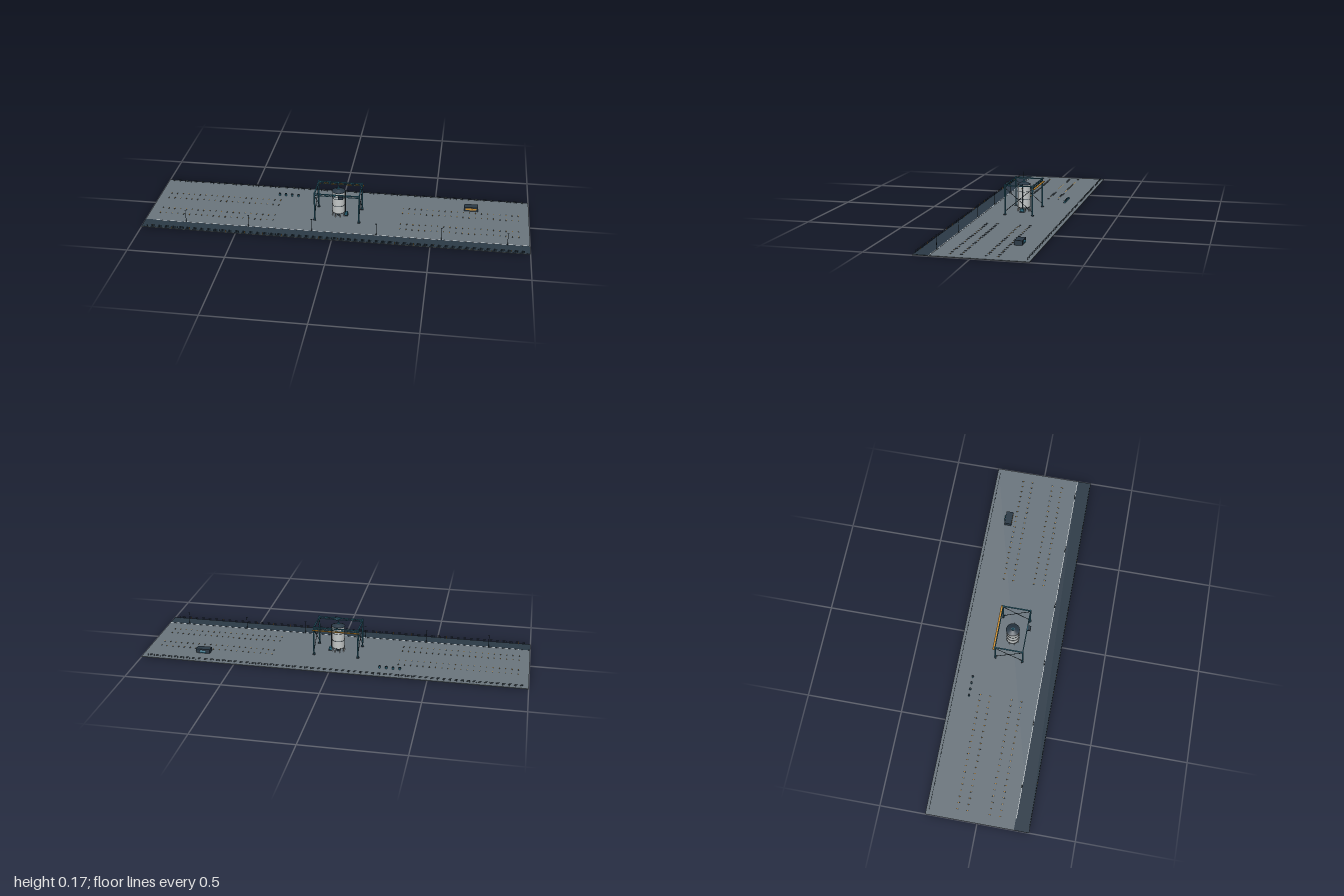
import * as THREE from 'three';

const mat = (name, color, side = THREE.FrontSide) => {
  const m = new THREE.MeshStandardMaterial({ color, side });
  m.name = name;
  return m;
};

export function createModel() {
  const concrete = mat('concrete grey', 0x6b767e);
  const navy = mat('dark navy', 0x2b3a47);
  const teal = mat('teal steel', 0x2f6f86);
  const silver = mat('silver', 0xc4c8c8);
  const dark = mat('dark steel', 0x22303a);
  const amber = mat('amber', 0xd0902f);
  const white = mat('white paint', 0xdde1e2);

  const root = new THREE.Group();
  root.name = 'processYard';
  const group = (name) => {
    const g = new THREE.Group();
    g.name = name;
    root.add(g);
    return g;
  };
  const add = (parent, name, geo, m, x, y, z) => {
    const mesh = new THREE.Mesh(geo, m);
    mesh.name = name;
    mesh.position.set(x, y, z);
    parent.add(mesh);
    return mesh;
  };
  const box = (p, name, m, w, h, d, x, y, z) => add(p, name, new THREE.BoxGeometry(w, h, d), m, x, y, z);
  const cyl = (p, name, m, r, h, x, y, z, r2 = r, n = 16) =>
    add(p, name, new THREE.CylinderGeometry(r2, r, h, n), m, x, y, z);
  // round bar between two points
  const bar = (p, name, m, r, a, b) => {
    const A = new THREE.Vector3(...a), B = new THREE.Vector3(...b), d = B.clone().sub(A);
    const c = A.clone().add(B).multiplyScalar(0.5);
    const mesh = cyl(p, name, m, r, d.length(), c.x, c.y, c.z, r, 8);
    mesh.quaternion.setFromUnitVectors(new THREE.Vector3(0, 1, 0), d.normalize());
    return mesh;
  };
  const G = 0.0035; // ground level

  // Yard slab, road and edge line
  const yard = group('yard');
  box(yard, 'slab', concrete, 2, G, 0.532, 0, G / 2, 0);
  box(yard, 'road', navy, 2, 0.0006, 0.077, 0, G + 0.0003, 0.2265);
  box(yard, 'roadLine', white, 1.94, 0.001, 0.003, 0.03, G + 0.0005, 0.19);

  // Rows of small floor markers on both sides of the tank
  const rows = group('floorMarkers');
  for (const side of [-1, 1])
    for (const z of [-0.112, -0.06, 0.055, 0.108])
      for (let i = 0; i < 20; i++) {
        const x = side * (0.335 + i * 0.0321);
        box(rows, 'marker', dark, 0.005, 0.0012, 0.012, x, G + 0.0006, z);
        box(rows, 'markerCap', amber, 0.003, 0.0004, 0.006, x, G + 0.0014, z);
      }

  // Fences along the long edges
  const fences = group('fences');
  for (const z of [-0.25, 0.262]) {
    for (let i = 0; i <= 60; i++)
      box(fences, 'fencePost', z > 0 && i % 3 === 1 ? amber : dark, 0.0015, 0.012, 0.0015, -0.97 + i * 0.0323, G + 0.006, z);
    for (const y of [0.009, 0.015])
      box(fences, 'fenceRail', dark, 1.94, 0.0007, 0.0012, 0, y, z);
  }

  // Lamp posts beside the road
  const lamps = group('lampPosts');
  for (let i = 0; i < 6; i++) {
    const x = -0.78 + i * 0.3333;
    cyl(lamps, 'lampPole', dark, 0.0014, 0.067, x, G + 0.0335, 0.19, 0.0011, 8);
    box(lamps, 'lampHead', dark, 0.010, 0.0018, 0.003, x, 0.0705, 0.19);
    box(lamps, 'lampBase', dark, 0.006, 0.002, 0.006, x, G + 0.001, 0.19);
  }

  // Gantry frame
  const gantry = group('gantry');
  const X = 0.117, Z = 0.073;
  for (const x of [-X, X]) {
    for (const z of [-Z, Z]) {
      cyl(gantry, 'gantryPost', teal, 0.004, 0.16, x, G + 0.08, z);
      box(gantry, 'postFoot', dark, 0.014, 0.0035, 0.013, x, G + 0.00175, z);
    }
    box(gantry, 'endBeam', teal, 0.006, 0.005, 2 * Z, x, 0.157, 0);
    for (const s of [-1, 1])
      bar(gantry, 'crossBrace', dark, 0.0016, [x, 0.021, s * Z], [x, 0.145, -s * Z]);
  }
  for (const z of [-Z, Z]) {
    box(gantry, 'topChord', teal, 2 * X, 0.005, 0.005, 0, 0.157, z);
    box(gantry, 'bottomChord', teal, 2 * X, 0.0025, 0.003, 0, 0.147, z);
    for (let i = 0; i < 10; i++) {
      const x = -X + i * X / 5, up = i % 2;
      bar(gantry, 'trussWeb', dark, 0.001, [x, up ? 0.156 : 0.147, z], [x + X / 5, up ? 0.147 : 0.156, z]);
    }
  }
  box(gantry, 'serviceLedge', amber, 0.25, 0.002, 0.011, 0, 0.143, -0.08);
  box(gantry, 'hoistBox', navy, 0.025, 0.014, 0.016, 0.022, 0.15, 0.083);

  // Tank with cone floor, roof, bands and legs
  const tank = group('tank');
  const shell = [[0.008, 0.012], [0.033, 0.025]].map((p) => new THREE.Vector2(...p));
  add(tank, 'coneFloor', new THREE.LatheGeometry(shell, 32), silver, 0, 0, 0);
  cyl(tank, 'shell', silver, 0.033, 0.122, 0, 0.086, 0, 0.033, 32);
  for (const y of [0.026, 0.068, 0.11, 0.146])
    cyl(tank, 'band', dark, 0.0343, 0.002, 0, y, 0, 0.0343, 32);
  cyl(tank, 'roof', navy, 0.036, 0.012, 0, 0.153, 0, 0.011, 32);
  cyl(tank, 'roofNeck', teal, 0.008, 0.004, 0, 0.16, 0);
  cyl(tank, 'vent', teal, 0.0035, 0.014, 0, 0.168, 0);
  for (let i = 0; i < 8; i++) {
    const a = (i + 0.5) * Math.PI / 4, c = Math.cos(a), s = Math.sin(a);
    bar(tank, 'tankLeg', silver, 0.0022, [0.033 * c, G, 0.033 * s], [0.03 * c, 0.03, 0.03 * s]);
  }
  cyl(tank, 'tankPlinth', dark, 0.01, 0.009, 0, G + 0.0045, 0);

  // Riser pipe with pump and valve on the tank side
  bar(tank, 'riserPipe', dark, 0.0023, [0.037, 0.01, 0], [0.037, 0.15, 0]);
  box(tank, 'pumpBase', dark, 0.022, 0.004, 0.022, 0.04, G + 0.002, 0);
  box(tank, 'pump', teal, 0.014, 0.014, 0.02, 0.041, 0.0145, 0);
  box(tank, 'valveTag', amber, 0.003, 0.002, 0.010, 0.038, 0.127, 0);

  // Generator
  const gen = group('generator');
  box(gen, 'generatorBody', navy, 0.074, 0.0225, 0.038, 0.695, G + 0.01125, -0.15);
  box(gen, 'generatorPanel', amber, 0.056, 0.010, 0.001, 0.695, 0.015, -0.1306);
  const drum = cyl(gen, 'generatorDrum', teal, 0.008, 0.03, 0.695, 0.0125, -0.166);
  drum.rotation.z = Math.PI / 2;

  // Row of drums
  const drums = group('drums');
  for (let i = 0; i < 4; i++) {
    const x = -0.35 + i * 0.0345;
    cyl(drums, 'drum', teal, 0.0055, 0.011, x, G + 0.0055, -0.17);
    cyl(drums, 'drumLid', dark, 0.006, 0.0012, x, 0.015, -0.17);
  }
  return root;
}
